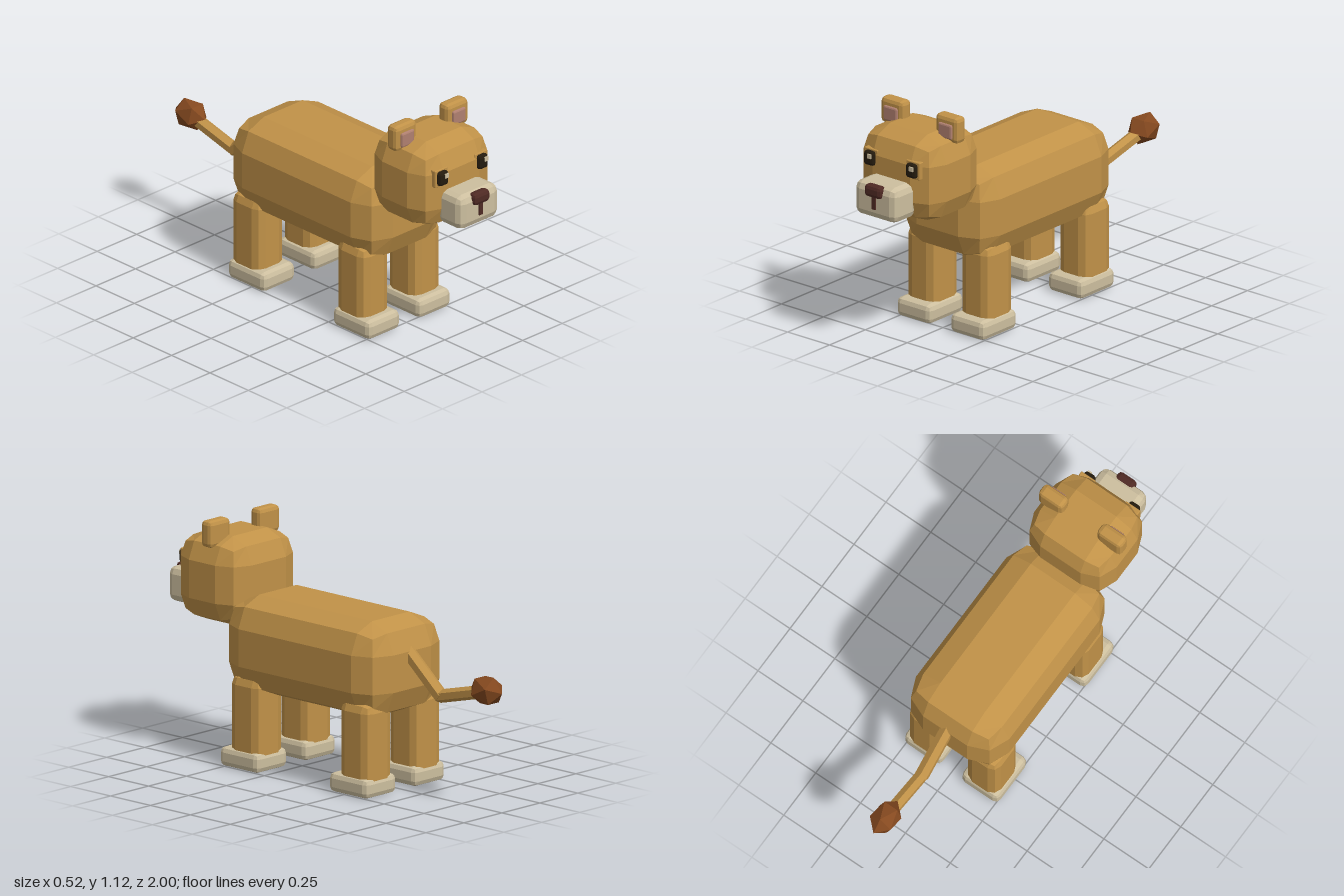
import * as THREE from 'three';
import { RoundedBoxGeometry } from 'three/addons/geometries/RoundedBoxGeometry.js';

function material(name, color) {
  const m = new THREE.MeshStandardMaterial({ color, flatShading: true });
  m.name = name;
  return m;
}

export function createModel() {
  const fur = material('fur', 0xc19248);
  const cream = material('cream', 0xcdbf9f);
  const noseBrown = material('noseBrown', 0x4f2a24);
  const tuftBrown = material('tuftBrown', 0x85491f);
  const innerEarPink = material('innerEarPink', 0xb08070);
  const eyeDark = material('eyeDark', 0x241b0e);

  const model = new THREE.Group();
  model.name = 'bigCat';

  function add(name, geometry, mat, x, y, z) {
    const mesh = new THREE.Mesh(geometry, mat);
    mesh.name = name;
    mesh.position.set(x, y, z);
    model.add(mesh);
    return mesh;
  }
  // Box with a two-facet bevel on every edge
  const block = (name, mat, [w, h, d], r, [x, y, z]) =>
    add(name, new RoundedBoxGeometry(w, h, d, 1, r), mat, x, y, z);

  // Trunk and head
  block('body', fur, [0.52, 0.45, 0.98], 0.137, [0, 0.573, 0.05]);
  block('head', fur, [0.46, 0.415, 0.4], 0.118, [0, 0.832, 0.66]);

  // Muzzle, nose and the line below it
  block('muzzle', cream, [0.25, 0.168, 0.16], 0.036, [0, 0.75, 0.902]);
  block('nose', noseBrown, [0.1, 0.06, 0.05], 0.018, [0, 0.805, 0.974]);
  add('noseLine', new THREE.BoxGeometry(0.022, 0.06, 0.009), noseBrown, 0, 0.748, 0.983);

  for (const side of [1, -1]) {
    const prefix = side > 0 ? 'left' : 'right';

    // Ears
    block(prefix + 'Ear', fur, [0.135, 0.126, 0.066], 0.02, [side * 0.163, 1.057, 0.638]);
    block(prefix + 'InnerEar', innerEarPink, [0.08, 0.071, 0.03], 0.008, [side * 0.163, 1.05, 0.667]);

    // Eyes, with the highlight on the same side of both
    block(prefix + 'EyeSocket', fur, [0.08, 0.085, 0.03], 0.004, [side * 0.125, 0.903, 0.843]);
    block(prefix + 'Eye', eyeDark, [0.058, 0.07, 0.035], 0.014, [side * 0.125, 0.903, 0.862]);
    add(prefix + 'EyeHighlight', new THREE.BoxGeometry(0.021, 0.021, 0.008), cream,
      side * 0.125 + 0.01, 0.917, 0.881);

    // Legs and paws
    for (const [place, legZ, pawZ] of [['Front', 0.383, 0.404], ['Back', -0.301, -0.28]]) {
      block(prefix + place + 'Leg', fur, [0.175, 0.407, 0.19], 0.045, [side * 0.162, 0.235, legZ]);
      block(prefix + place + 'Paw', cream, [0.205, 0.093, 0.242], 0.026, [side * 0.16, 0.0465, pawZ]);
    }
  }

  // Bent tail: two straight rods
  function rod(name, from, to, radius) {
    const a = new THREE.Vector3(...from), b = new THREE.Vector3(...to);
    const dir = b.clone().sub(a);
    const mid = a.clone().add(b).multiplyScalar(0.5);
    const mesh = add(name, new THREE.CylinderGeometry(radius, radius, dir.length(), 6), fur, mid.x, mid.y, mid.z);
    mesh.quaternion.setFromUnitVectors(new THREE.Vector3(0, 1, 0), dir.normalize());
  }
  rod('tailBase', [0, 0.665, -0.4], [0, 0.475, -0.624], 0.034);
  rod('tailEnd', [0, 0.478, -0.61], [0, 0.547, -0.88], 0.031);

  // Faceted tuft, stretched along the tail
  const tuft = new THREE.IcosahedronGeometry(0.075, 0);
  tuft.rotateX(0.55);
  tuft.scale(0.9, 1, 1.27);
  add('tailTuft', tuft, tuftBrown, 0, 0.557, -0.905);

  return model;
}
